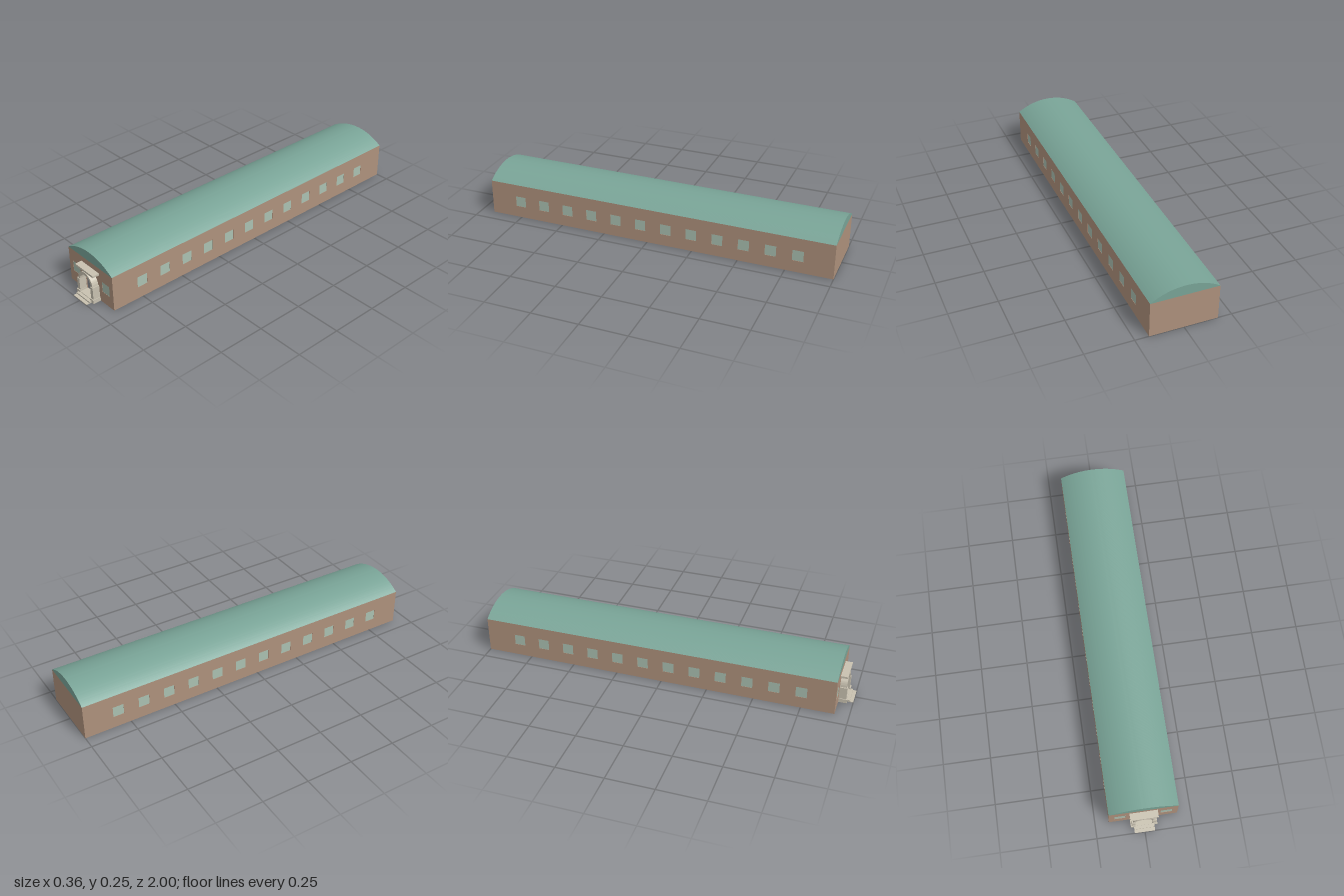
import * as THREE from 'three';
import { toCreasedNormals } from 'three/addons/utils/BufferGeometryUtils.js';

const material = (name, color) => {
  const m = new THREE.MeshStandardMaterial({ color });
  m.name = name;
  return m;
};

export function createModel() {
  const group = new THREE.Group();
  const brick = material('brick', 0xae917c);
  const green = material('roofGreen', 0x79a497);
  const stone = material('stone', 0xc8c1b0);
  const glass = material('glass', 0xaac0b1);

  const W = 0.178, H = 0.193, T = 0.005, FRONT = 0.925, BACK = -1;
  const WIN = 0.059, WIN_Y = 0.094;

  const add = (name, geometry, mat, parent = group) => {
    const mesh = new THREE.Mesh(geometry, mat);
    mesh.name = name;
    parent.add(mesh);
    return mesh;
  };
  // Box given by its lower and upper corners
  const box = (name, mat, [x0, y0, z0], [x1, y1, z1], parent) => {
    const mesh = add(name, new THREE.BoxGeometry(x1 - x0, y1 - y0, z1 - z0), mat, parent);
    mesh.position.set((x0 + x1) / 2, (y0 + y1) / 2, (z0 + z1) / 2);
    return mesh;
  };
  const extrude = (shape, depth) => toCreasedNormals(
    new THREE.ExtrudeGeometry(shape, { depth, bevelEnabled: false, curveSegments: 40 }), 0.5);
  const rect = (Type, x0, y0, x1, y1) => {
    const p = new Type();
    p.moveTo(x0, y0); p.lineTo(x1, y0); p.lineTo(x1, y1); p.lineTo(x0, y1); p.closePath();
    return p;
  };
  const windowHole = (u) => rect(THREE.Path, u - WIN / 2, WIN_Y - WIN / 2, u + WIN / 2, WIN_Y + WIN / 2);

  // Long side walls with twelve window openings and recessed panes
  const windowZ = Array.from({ length: 12 }, (_, i) => 0.749 - i * 0.142);
  for (const [side, s] of [['left', 1], ['right', -1]]) {
    const wall = rect(THREE.Shape, -FRONT, 0, -BACK, H);
    wall.holes = windowZ.map((z) => windowHole(-z));
    const mesh = add(side + 'Wall', extrude(wall, T), brick);
    mesh.rotation.y = Math.PI / 2;
    mesh.position.x = s > 0 ? W - T : -W;
    const x = s * (W - T / 2);
    for (const z of windowZ) {
      box(side + 'Window', glass, [x - 0.001, WIN_Y - WIN / 2, z - WIN / 2],
        [x + 0.001, WIN_Y + WIN / 2, z + WIN / 2]);
    }
  }

  // End walls between the side walls; the front has an arched doorway
  box('backWall', brick, [-W + T, 0, BACK], [W - T, H, BACK + T]);
  const DOOR = 0.044, SPRING = 0.087;
  const front = new THREE.Shape();
  front.moveTo(-W + T, 0);
  front.lineTo(-DOOR, 0);
  front.lineTo(-DOOR, SPRING);
  front.absarc(0, SPRING, DOOR, Math.PI, 0, true);
  front.lineTo(DOOR, 0);
  front.lineTo(W - T, 0);
  front.lineTo(W - T, H);
  front.lineTo(-W + T, H);
  front.closePath();
  front.holes = [windowHole(-0.1195), windowHole(0.1195)];
  add('frontWall', extrude(front, T), brick).position.z = FRONT - T;
  for (const x of [-0.1195, 0.1195]) {
    box('frontWindow', glass, [x - WIN / 2, WIN_Y - WIN / 2, FRONT - 0.0035],
      [x + WIN / 2, WIN_Y + WIN / 2, FRONT - 0.0015]);
  }

  // Barrel roof, a shallow circular segment
  const rise = 0.055;
  const R = (W * W + rise * rise) / (2 * rise);
  const half = Math.asin(W / R);
  const roof = new THREE.Shape();
  roof.absarc(0, H + rise - R, R, Math.PI / 2 - half, Math.PI / 2 + half, false);
  roof.closePath();
  add('roof', extrude(roof, FRONT - BACK), green).position.z = BACK;

  // Stone entrance: arch, piers, bases, lintel slab and steps
  const porch = new THREE.Group();
  porch.name = 'entrance';
  group.add(porch);
  const arch = new THREE.Shape();
  arch.absarc(0, SPRING, 0.058, 0, Math.PI, false);
  arch.absarc(0, SPRING, DOOR, Math.PI, 0, true);
  arch.closePath();
  add('arch', extrude(arch, 0.035), stone, porch).position.z = FRONT;
  for (const s of [-1, 1]) {
    const span = (a, b) => (s > 0 ? [a, b] : [-b, -a]);
    const [p0, p1] = span(0.045, 0.065);
    box('pier', stone, [p0, 0.021, FRONT], [p1, 0.088, 0.964], porch);
    const [b0, b1] = span(0.043, 0.069);
    box('pierBase', stone, [b0, 0, FRONT], [b1, 0.021, 0.969], porch);
  }
  box('lintelSlab', stone, [-0.072, 0.152, FRONT], [0.072, 0.163, 0.962], porch);
  box('threshold', stone, [-0.043, 0.011, FRONT - T], [0.043, 0.014, 0.966], porch);
  box('upperStep', stone, [-0.053, 0.004, FRONT], [0.053, 0.011, 0.982], porch);
  box('lowerStep', stone, [-0.053, 0, FRONT], [0.053, 0.004, 1], porch);

  return group;
}
